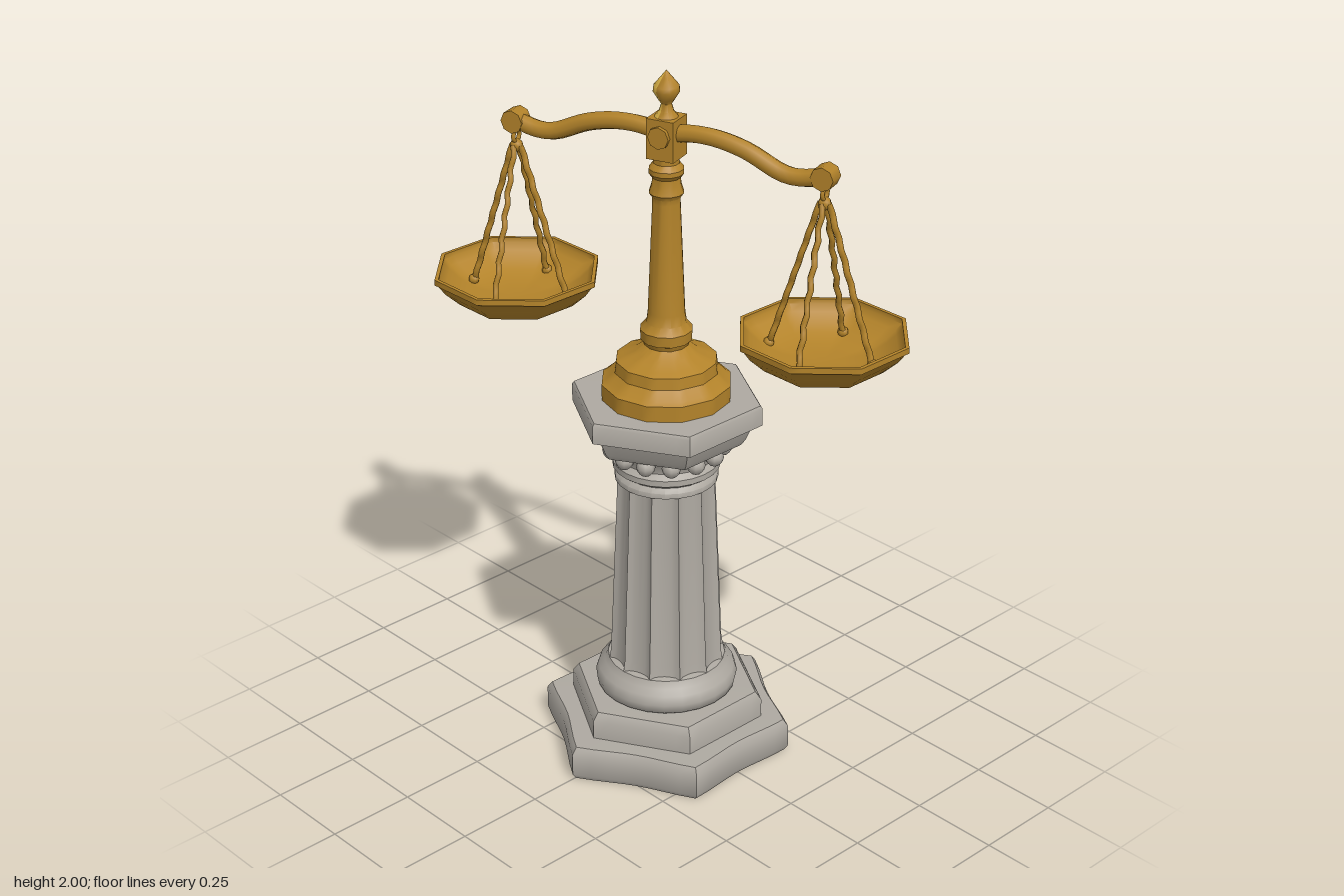
import * as THREE from 'three';
import { toCreasedNormals } from 'three/addons/utils/BufferGeometryUtils.js';

const mat = (name, color) => Object.assign(new THREE.MeshStandardMaterial({ color }), { name });

// Radius of a unit regular polygon at angle t, with a corner at t = 0
const polygon = (sides, turn = 0) => (t) => {
  const step = (2 * Math.PI) / sides;
  const a = (((t - turn) % step) + step) % step;
  return Math.cos(step / 2) / Math.cos(a - step / 2);
};

// Stacks [radius, y] rings, each following the outline shape(t)
function loft(rings, shape, n, crease = 0.6) {
  const pos = [], index = [];
  for (const [r, y] of rings)
    for (let j = 0; j < n; j++) {
      const t = (j / n) * 2 * Math.PI, q = r * shape(t);
      pos.push(q * Math.cos(t), y, q * Math.sin(t));
    }
  for (let i = 0; i < rings.length - 1; i++)
    for (let j = 0; j < n; j++) {
      const k = (j + 1) % n;
      const a = i * n + j, b = i * n + k, c = a + n, d = b + n;
      if (rings[i][0] > 0) index.push(a, c, b);
      if (rings[i + 1][0] > 0) index.push(b, c, d);
    }
  const g = new THREE.BufferGeometry();
  g.setAttribute('position', new THREE.Float32BufferAttribute(pos, 3));
  g.setIndex(index);
  return toCreasedNormals(g, crease);
}

// Gives triangles whose centre passes the test the second material
function paint(g, test) {
  const p = g.attributes.position;
  let start = 0, last = -1;
  for (let i = 0; i < p.count; i += 3) {
    const mid = (f) => (p[f](i) + p[f](i + 1) + p[f](i + 2)) / 3;
    const m = test(mid('getX'), mid('getY'), mid('getZ')) ? 1 : 0;
    if (m !== last && i > 0) {
      g.addGroup(start, i - start, last);
      start = i;
    }
    last = m;
  }
  g.addGroup(start, p.count - start, last);
  return g;
}

export function createModel() {
  const stone = mat('stone', 0xaea9a1);
  const gold = mat('gold', 0xb3832a);
  const worn = mat('polishedGold', 0xdcb448);
  const root = new THREE.Group();
  const add = (name, geo, material, parent = root) => {
    const m = new THREE.Mesh(geo, material);
    m.name = name;
    parent.add(m);
    return m;
  };
  const hex = polygon(6), round = () => 1;

  // Stepped hexagonal foot
  const bowed = (t) => hex(t) * (1 - 0.035 * Math.sin(3 * t) ** 2);
  add('plinth', loft([[0, 0], [0.35, 0], [0.36, 0.015], [0.36, 0.08], [0.345, 0.1], [0, 0.105]], bowed, 48), stone);
  add('plinthStep', loft([[0.28, 0.09], [0.28, 0.155], [0.262, 0.178], [0, 0.185]], hex, 48), stone);
  add('columnFoot', loft([[0.175, 0.17], [0.195, 0.185], [0.2, 0.21], [0.192, 0.235], [0.175, 0.25], [0.165, 0.27], [0.14, 0.275]], round, 24, 0.9), stone);

  // Fluted column shaft
  const flutes = 12;
  const fluted = (t) => 1 - 0.11 * Math.sqrt(Math.abs(Math.sin((t * flutes) / 2)));
  add('columnShaft', loft([[0.168, 0.25], [0.16, 0.3], [0.138, 0.82], [0.138, 0.85]], fluted, flutes * 8, 0.7), stone);

  // Capital with a ring of beads
  add('capital', loft([[0.12, 0.825], [0.142, 0.835], [0.142, 0.85], [0.13, 0.862], [0.148, 0.875], [0.148, 0.892],
    [0.132, 0.905], [0.14, 0.94], [0.175, 0.965]], round, 24, 0.8), stone);
  const beadCount = 14;
  for (let i = 0; i < beadCount; i++) {
    const t = (i / beadCount) * 2 * Math.PI;
    const bead = add('bead', new THREE.SphereGeometry(0.026, 8, 6), stone);
    bead.position.set(0.155 * Math.cos(t), 0.935, 0.155 * Math.sin(t));
  }
  add('abacus', loft([[0, 0.955], [0.21, 0.958], [0.222, 0.975], [0.24, 1.018], [0.268, 1.025], [0.268, 1.075],
    [0.262, 1.083], [0, 1.085]], hex, 48), stone);

  // Turned pedestal and post, polished on one side
  const sector = (x, y, z) => {
    const a = Math.atan2(z, x);
    return a < -0.05 && a > (y > 1.27 ? -1.5 : -1.25);
  };
  const twelve = polygon(12);
  add('pedestal', paint(loft([[0.178, 1.08], [0.178, 1.128], [0.165, 1.136], [0.142, 1.16], [0.138, 1.192],
    [0.12, 1.2], [0.085, 1.215], [0.06, 1.235], [0.066, 1.25]], twelve, 48), sector), [gold, worn]);
  add('post', paint(loft([[0.05, 1.24], [0.07, 1.25], [0.072, 1.28], [0.055, 1.3], [0.051, 1.33], [0.038, 1.64], [0.038, 1.655],
    [0.047, 1.668], [0.04, 1.69], [0.038, 1.71], [0.047, 1.722], [0.047, 1.735], [0.035, 1.75], [0.035, 1.78]],
    twelve, 24), sector), [gold, worn]);
  add('finial', paint(loft([[0.035, 1.87], [0.02, 1.89], [0.014, 1.91], [0.022, 1.922], [0.036, 1.945], [0.034, 1.958],
    [0.016, 1.98], [0, 2]], round, 12, 0.9), (x, y, z) => x < 0 && z < 0), [gold, worn]);

  // Hub block in the middle of the beam
  const turn = Math.atan2(0.15, 0.42), reach = Math.hypot(0.15, 0.42);
  const hub = new THREE.Group();
  hub.name = 'hub';
  hub.rotation.y = turn;
  root.add(hub);
  add('hubBlock', new THREE.BoxGeometry(0.078, 0.11, 0.078), gold, hub).position.y = 1.82;
  const boss = add('hubBoss', new THREE.CylinderGeometry(0.03, 0.03, 0.1, 8), gold, hub);
  boss.rotation.z = Math.PI / 2;
  boss.position.y = 1.83;

  const V = (x, y, z) => new THREE.Vector3(x, y, z);
  const armLine = new THREE.CatmullRomCurve3([V(0, 1.828, 0), V(0, 1.84, 0.08), V(0, 1.838, 0.15), V(0, 1.82, 0.23),
    V(0, 1.778, 0.33), V(0, 1.775, 0.38), V(0, 1.79, reach)]);
  const octagon = polygon(8, Math.PI / 8);

  for (const side of [1, -1]) {
    const arm = new THREE.Group();
    arm.name = side > 0 ? 'frontArm' : 'backArm';
    arm.rotation.y = turn + (side > 0 ? 0 : Math.PI);
    root.add(arm);

    // Curved arm with a knuckle and hook at its end
    add('beam', new THREE.TubeGeometry(armLine, 20, 0.024, 8), gold, arm);
    const knuckle = add('knuckle', new THREE.CylinderGeometry(0.032, 0.032, 0.05, 8), gold, arm);
    knuckle.rotation.z = Math.PI / 2;
    knuckle.position.set(0, 1.79, reach);
    add('hook', new THREE.TorusGeometry(0.016, 0.006, 6, 10), gold, arm).position.set(0, 1.745, reach);
    add('chainCap', new THREE.SphereGeometry(0.018, 8, 6), gold, arm).position.set(0, 1.718, reach);

    // Four knotted chains spreading down to the pan
    for (let i = 0; i < 4; i++) {
      const c = Math.cos((i * Math.PI) / 2), s = Math.sin((i * Math.PI) / 2);
      const points = [];
      for (let k = 0; k <= 14; k++) {
        const u = k / 14, r = 0.012 + 0.133 * u, w = k % 2 ? 0.003 : -0.003;
        points.push(V(c * r + s * w, 1.72 - 0.42 * u, reach + s * r - c * w));
      }
      add('chain', new THREE.TubeGeometry(new THREE.CatmullRomCurve3(points), 28, 0.0085, 6), gold, arm);
      add('chainEnd', new THREE.SphereGeometry(0.015, 8, 6), gold, arm).position.set(c * 0.147, 1.3, reach + s * 0.147);
    }

    // Octagonal pan with a polished patch inside
    const pan = new THREE.Group();
    pan.name = side > 0 ? 'frontPan' : 'backPan';
    pan.position.set(0.154 * side, 0, 0.427 * side);
    root.add(pan);
    add('bowl', loft([[0, 1.255], [0.11, 1.256], [0.165, 1.278], [0.205, 1.315], [0.224, 1.342], [0.233, 1.346],
      [0.233, 1.362], [0.222, 1.362]], octagon, 48, 0.85), gold, pan);
    const patch = side > 0
      ? (x, y, z) => z - 0.75 * x > 0.195 && x < -0.12
      : (x, y, z) => z - 0.75 * x > 0.16 && z > 0.05;
    add('panInside', paint(loft([[0.222, 1.362], [0.222, 1.348], [0.205, 1.332], [0.18, 1.312], [0.15, 1.296],
      [0.11, 1.284], [0.06, 1.279], [0, 1.277]], octagon, 48, 0.85), patch), [gold, worn], pan);
  }
  return root;
}
